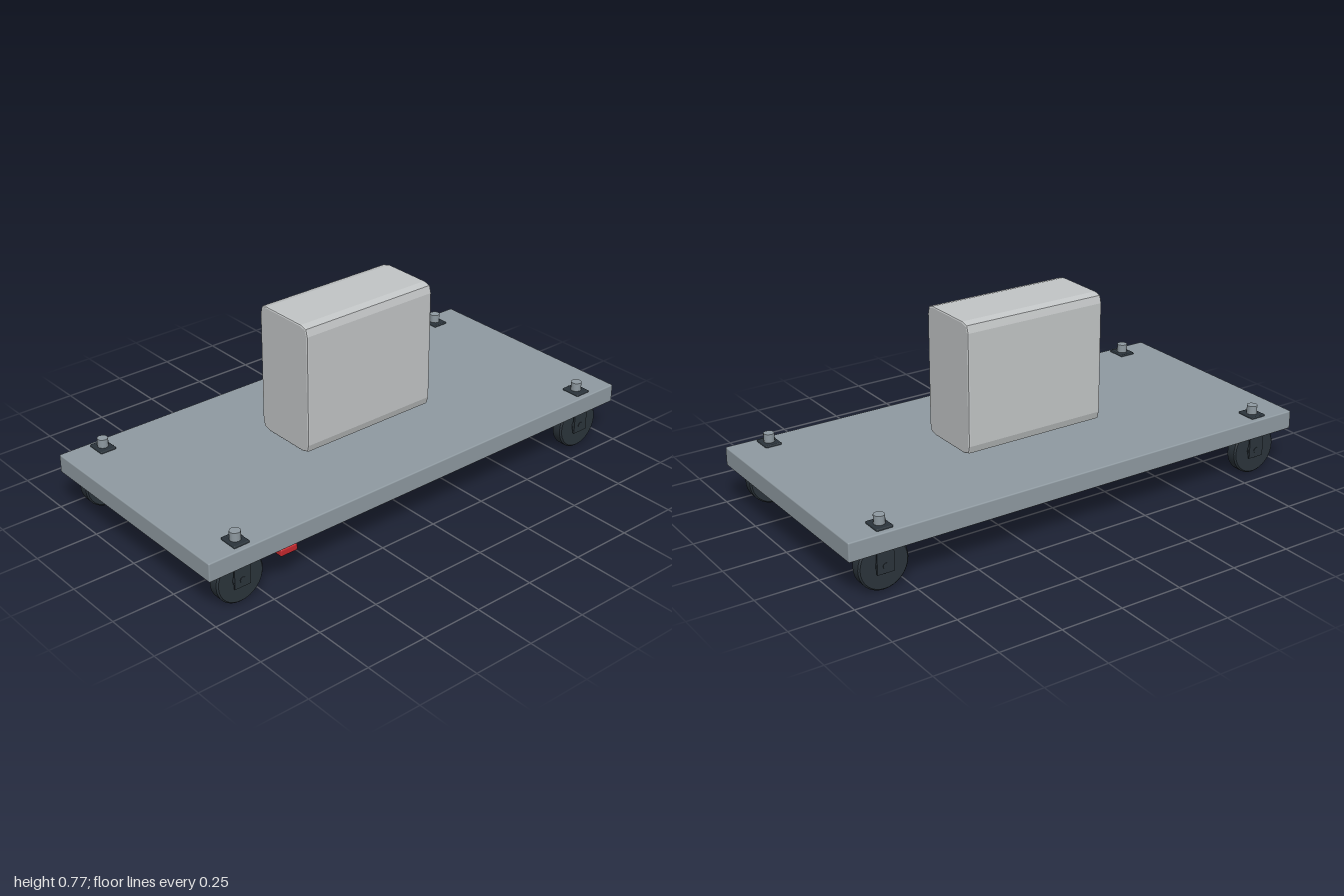
import * as THREE from 'three';
import { RoundedBoxGeometry } from 'three/addons/geometries/RoundedBoxGeometry.js';

const mat = (name, color) => new THREE.MeshStandardMaterial({ name, color });

export function createModel() {
  const steel = mat('steel grey', 0x8f9aa1);
  const pale = mat('pale grey', 0xc2c5c6);
  const rubber = mat('dark rubber', 0x2b343b);
  const red = mat('brake red', 0xc4282e);

  const model = new THREE.Group();
  model.name = 'platformCart';

  function add(parent, name, geometry, material, x = 0, y = 0, z = 0) {
    const mesh = new THREE.Mesh(geometry, material);
    mesh.name = name;
    mesh.position.set(x, y, z);
    parent.add(mesh);
    return mesh;
  }

  // Flat platform with softened edges
  add(model, 'deck', new RoundedBoxGeometry(0.95, 0.075, 2, 2, 0.005), steel, 0, 0.2025);

  // Upright block: cut-corner outline extruded front to back with a small bevel
  const outline = [];
  for (const [sx, sy, flip] of [[1, 1, 0], [-1, 1, 1], [-1, -1, 0], [1, -1, 1]]) {
    const corner = [[0.132, 0.222], [0.125, 0.247], [0.1, 0.254]];
    if (flip) corner.reverse();
    corner.forEach(([x, y]) => outline.push(new THREE.Vector2(sx * x, sy * y)));
  }
  const block = new THREE.ExtrudeGeometry(new THREE.Shape(outline), {
    depth: 0.588, bevelEnabled: true, bevelSize: 0.006, bevelThickness: 0.008, bevelSegments: 2,
  });
  block.translate(0, 0, -0.294);
  add(model, 'block', block, pale, 0, 0.51, 0);

  // Brake bar under the front left corner
  add(model, 'brakeBar', new RoundedBoxGeometry(0.308, 0.028, 0.075, 2, 0.006), red, 0.306, 0.139, 0.648);

  // Caster geometries shared by all four corners
  const tyreProfile = [[0, -0.024], [0.094, -0.024], [0.1, -0.018], [0.1, 0.018], [0.094, 0.024], [0, 0.024]]
    .map(([r, y]) => new THREE.Vector2(r, y));
  // Split every profile corner so the rims stay crisp
  const crisp = tyreProfile.flatMap((p, i) => (i > 0 && i < 5 ? [p, p.clone()] : [p]));
  const tyre = new THREE.LatheGeometry(crisp, 32).rotateZ(Math.PI / 2);
  const hub = new THREE.CylinderGeometry(0.035, 0.035, 0.058, 16).rotateZ(Math.PI / 2);
  const axle = new THREE.CylinderGeometry(0.012, 0.012, 0.078, 10).rotateZ(Math.PI / 2);
  const forkPlate = new THREE.BoxGeometry(0.007, 0.097, 0.068);
  const topPlate = new RoundedBoxGeometry(0.08, 0.012, 0.066, 2, 0.004);
  const bolt = new THREE.CylinderGeometry(0.021, 0.021, 0.046, 12);

  for (const sx of [-1, 1]) {
    for (const sz of [-1, 1]) {
      const caster = new THREE.Group();
      caster.name = `${sz > 0 ? 'front' : 'back'}${sx > 0 ? 'Left' : 'Right'}Caster`;
      caster.position.set(sx * 0.415, 0, sz * 0.846);
      model.add(caster);
      add(caster, 'wheel', tyre, rubber, 0, 0.1);
      add(caster, 'hub', hub, rubber, 0, 0.1);
      add(caster, 'axle', axle, rubber, 0, 0.1);
      for (const side of [-1, 1]) add(caster, 'forkPlate', forkPlate, rubber, side * 0.0335, 0.1195);
      add(caster, 'topPlate', topPlate, rubber, 0, 0.242);
      add(caster, 'bolt', bolt, steel, 0, 0.259);
    }
  }
  return model;
}
